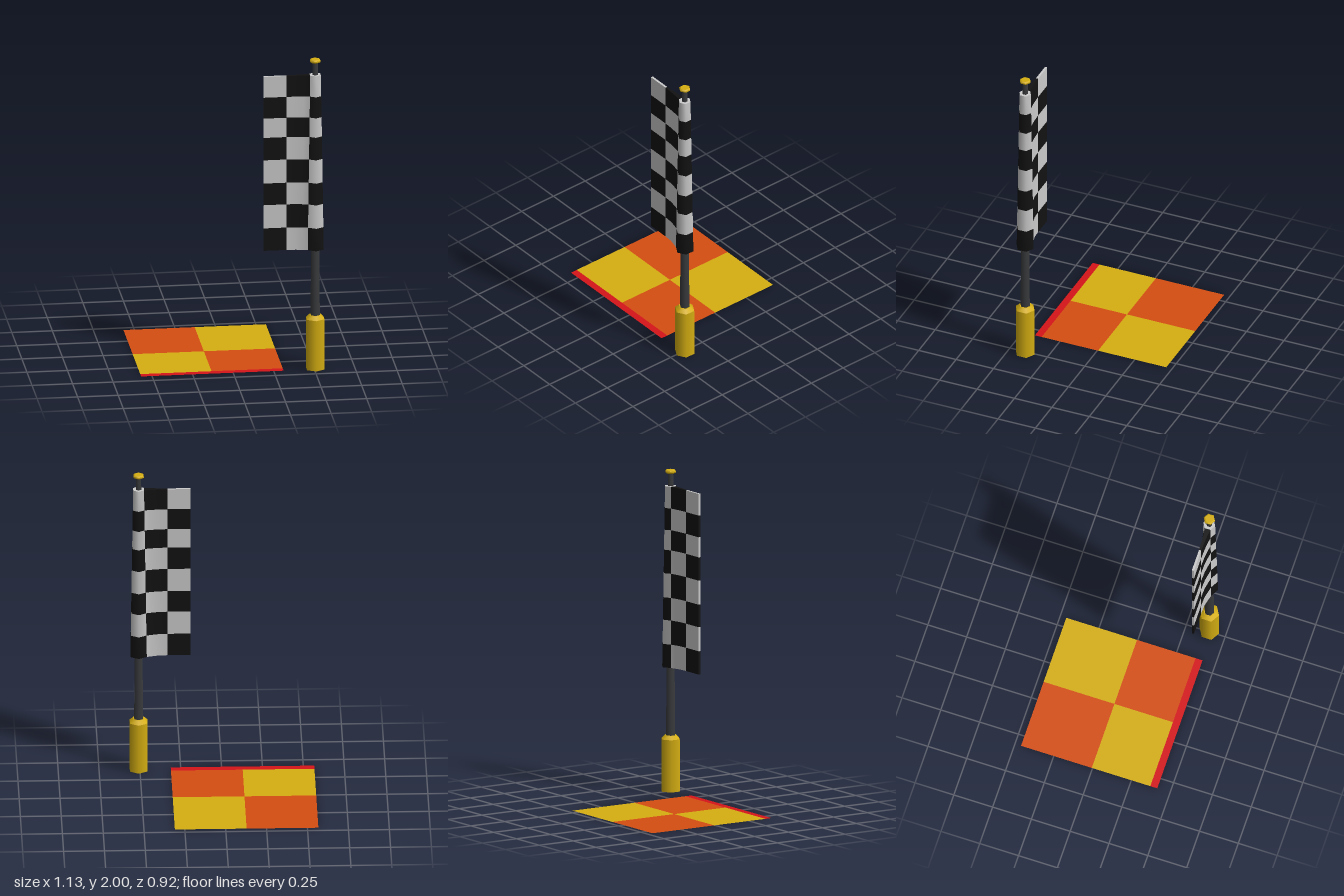
import * as THREE from 'three';

const mat = (color, side = THREE.FrontSide) => new THREE.MeshStandardMaterial({ color, side });
const GOLD = 0xd6af12, ORANGE = 0xd64e12, RED = 0xd61419, POLE = 0x3a3b3d, WHITE = 0xcccccc, BLACK = 0x121212;
const CX = 0.508, CZ = 0.395; // pole axis

// Hexagonal tapered section of the staff between two heights
function section(group, name, color, y0, r0, y1, r1, open = false) {
  const geo = new THREE.CylinderGeometry(r1, r0, y1 - y0, 6, 1, open);
  const mesh = new THREE.Mesh(geo, mat(color));
  mesh.name = name;
  mesh.position.set(CX, (y0 + y1) / 2, CZ);
  group.add(mesh);
}

// Smooth grid surface split into white and black cells
function checkeredGrid(group, name, rows, isWhite) {
  const n = rows[0].length;
  const geo = new THREE.BufferGeometry();
  geo.setAttribute('position', new THREE.Float32BufferAttribute(rows.flat(2), 3));
  const index = { white: [], black: [] };
  for (let i = 0; i < rows.length - 1; i++) {
    for (let j = 0; j < n - 1; j++) {
      const a = i * n + j, b = a + n;
      index[isWhite(i, j) ? 'white' : 'black'].push(a, b, b + 1, a, b + 1, a + 1);
    }
  }
  geo.setIndex([...index.white, ...index.black]);
  geo.computeVertexNormals();
  for (const [tone, color] of [['white', WHITE], ['black', BLACK]]) {
    if (!index[tone].length) continue;
    const part = geo.clone();
    part.setIndex(index[tone]);
    const mesh = new THREE.Mesh(part, mat(color, THREE.DoubleSide));
    mesh.name = `${name} ${tone}`;
    group.add(mesh);
  }
}

// Flag outline at a height: front half from free edge round the sleeve, then its mirror
function flagOutline(y) {
  const r = THREE.MathUtils.mapLinear(y, 0.775, 1.9, 0.057, 0.038);
  const left = CX - 0.866 * r;
  const along = t => THREE.MathUtils.lerp(0.33, left, t);
  const half = [
    [0.19, 0.007], [0.33, 0.007], [along(0.45), 0.01], [along(0.75), 0.35 * r],
    [left, 0.5 * r], [CX, r], [CX + 0.866 * r, 0.5 * r],
  ];
  const front = half.map(([x, z]) => [x, y, CZ + z]);
  const back = half.map(([x, z]) => [x, y, CZ - z]).reverse();
  return [...front, ...back];
}

function makeFlag() {
  const flag = new THREE.Group();
  flag.name = 'flag';
  const heights = [1.9, 1.765, 1.63, 1.505, 1.36, 1.21, 1.07, 0.92, 0.775];
  const rings = heights.map(flagOutline);
  const n = rings[0].length;
  const column = j => {
    const k = Math.min(j, n - 2 - j);
    return k < 1 ? 0 : k < 4 ? 1 : 2;
  };
  checkeredGrid(flag, 'cloth', rings, (i, j) => (i + column(j)) % 2 === 0);
  // free edge
  checkeredGrid(flag, 'freeEdge', rings.map(p => [p[n - 1], p[0]]), i => i % 2 === 0);
  // top and bottom hems
  const pairs = p => p.slice(0, n / 2).map((q, j) => [q, p[n - 1 - j]]);
  checkeredGrid(flag, 'topHem', pairs(rings[0]), i => column(i) % 2 === 0);
  checkeredGrid(flag, 'bottomHem', pairs(rings[8]).map(q => q.reverse()), i => column(i) % 2 === 1);
  return flag;
}

function makeGroundPanel() {
  const panel = new THREE.Group();
  panel.name = 'groundPanel';
  const tile = (name, color, x0, x1, z0, z1) => {
    const geo = new THREE.PlaneGeometry(x1 - x0, z1 - z0).rotateX(-Math.PI / 2);
    const mesh = new THREE.Mesh(geo, mat(color, THREE.DoubleSide));
    mesh.name = name;
    mesh.position.set((x0 + x1) / 2, 0, (z0 + z1) / 2);
    panel.add(mesh);
  };
  const xs = [-0.567, -0.128, 0.311], zs = [-0.461, -0.005, 0.372];
  for (let i = 0; i < 2; i++) {
    for (let j = 0; j < 2; j++) {
      tile('panelSquare', i === j ? ORANGE : GOLD, xs[i], xs[i + 1], zs[j], zs[j + 1]);
    }
  }
  tile('frontStripe', RED, xs[0], xs[2], 0.372, 0.417);
  return panel;
}

export function createModel() {
  const model = new THREE.Group();
  model.name = 'checkeredFlagAndPanel';

  const staff = new THREE.Group();
  staff.name = 'staff';
  section(staff, 'handle', GOLD, 0, 0.0625, 0.325, 0.0625);
  section(staff, 'handleShoulder', GOLD, 0.325, 0.0625, 0.348, 0.038);
  section(staff, 'pole', POLE, 0.34, 0.031, 1.98, 0.018, true);
  section(staff, 'knobBase', GOLD, 1.976, 0.022, 1.985, 0.036);
  section(staff, 'knob', GOLD, 1.985, 0.036, 1.993, 0.036);
  section(staff, 'knobTop', GOLD, 1.993, 0.036, 2.0, 0.028);

  model.add(staff, makeFlag(), makeGroundPanel());
  return model;
}
